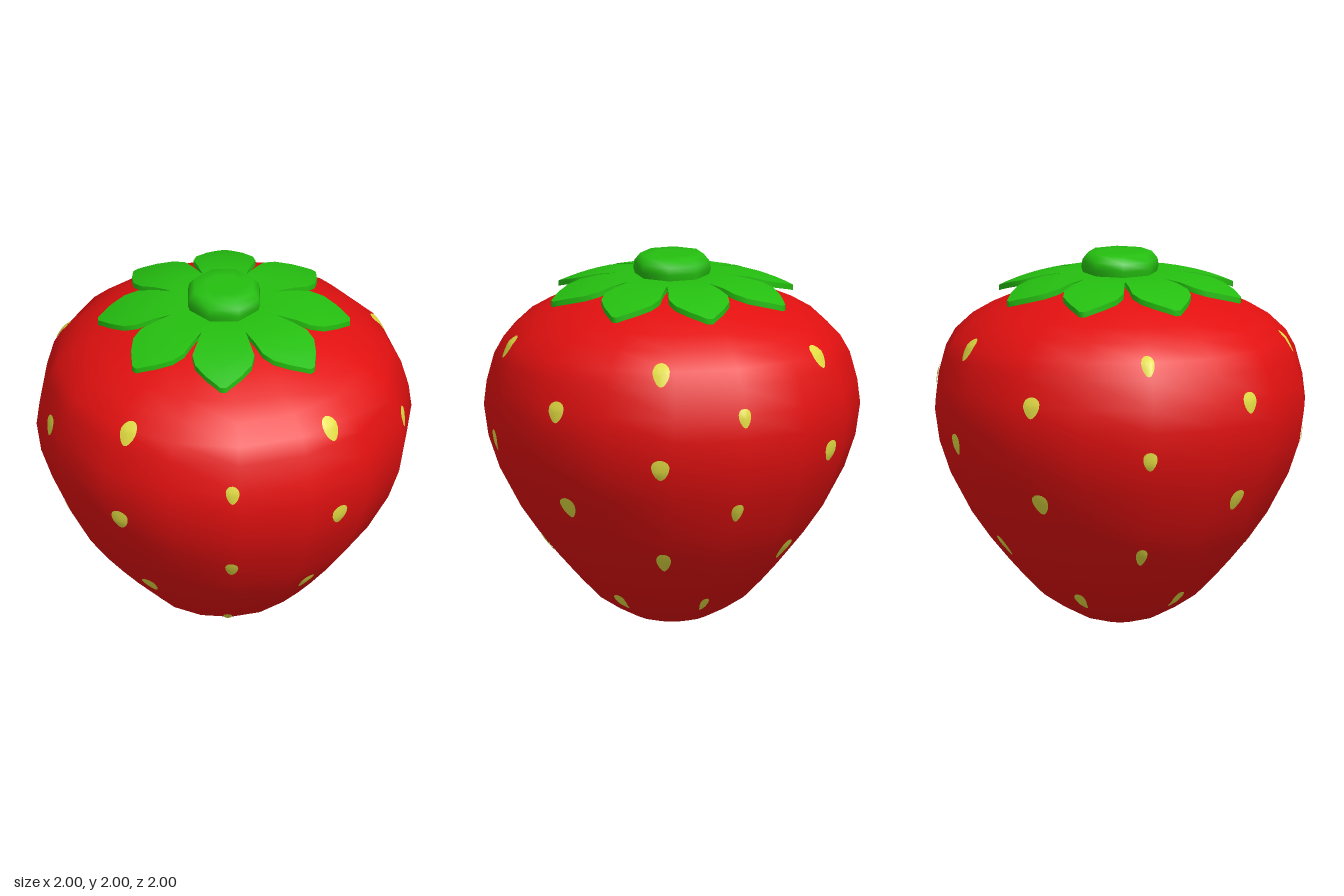
import * as THREE from 'three';

const SIDES = 16;
const STEP = (Math.PI * 2) / SIDES;
// Fruit profile, [radius, height] from tip to shoulder
const PROFILE = [
  [0, 0.005], [0.09, 0.01], [0.19, 0.035], [0.3, 0.09], [0.41, 0.16], [0.51, 0.26], [0.6, 0.36], [0.7, 0.48],
  [0.8, 0.62], [0.915, 0.835], [0.975, 1.01], [1, 1.18], [0.985, 1.31], [0.945, 1.46],
  [0.895, 1.55], [0.8, 1.64], [0.69, 1.705], [0.52, 1.78], [0.3, 1.84], [0, 1.865],
];

function lathe(points, sides) {
  return new THREE.LatheGeometry(points.map(([r, y]) => new THREE.Vector2(r, y)), sides);
}

function makeGeometry(positions, index) {
  const g = new THREE.BufferGeometry();
  g.setAttribute('position', new THREE.Float32BufferAttribute(positions, 3));
  g.setIndex(index);
  g.computeVertexNormals();
  return g;
}

// Point on the faceted fruit, lifted slightly along the outward direction
function onFruit(theta, y, lift) {
  let i = 1;
  while (i < PROFILE.length - 2 && PROFILE[i][1] < y) i++;
  const [r0, y0] = PROFILE[i - 1];
  const [r1, y1] = PROFILE[i];
  const r = r0 + ((r1 - r0) * (y - y0)) / (y1 - y0);
  const mid = (Math.floor(theta / STEP) + 0.5) * STEP;
  const facet = (r * Math.cos(STEP / 2)) / Math.cos(theta - mid);
  const len = Math.hypot(r1 - r0, y1 - y0);
  const out = facet + (lift * (y1 - y0)) / len;
  return [Math.sin(theta) * out, y - (lift * (r1 - r0)) / len, Math.cos(theta) * out];
}

// Thin egg-shaped seed that follows the fruit's skin
function seedGeometry(theta, y, w, h) {
  const n = 16;
  const rings = 4;
  const r = Math.hypot(...[0, 2].map((k) => onFruit(theta, y, 0)[k]));
  const pos = [...onFruit(theta, y, 0.008)];
  const index = [];
  for (let k = 1; k <= rings; k++) {
    for (let i = 0; i < n; i++) {
      const a = (i / n) * Math.PI * 2;
      const s = k / rings;
      const u = Math.sin(a) * (w / 2) * (1 + 0.3 * Math.cos(a)) * s;
      const v = Math.cos(a) * (h / 2) * s;
      pos.push(...onFruit(theta + u / r, y + v, 0.008 - 0.004 * s * s));
      const j = (i + 1) % n;
      const b = 1 + (k - 1) * n;
      if (k === 1) index.push(0, b + j, b + i);
      else index.push(b - n + i, b - n + j, b + j, b - n + i, b + j, b + i);
    }
  }
  return makeGeometry(pos, index);
}

// Eight-leaf crown: one outline, scaled in rings and drooping outwards
function crownGeometries() {
  const half = [[0.38, 0.142], [0.46, 0.165], [0.53, 0.15], [0.6, 0.095], [0.64, 0.05], [0.67, 0.015]];
  const leaf = [[0.28, -0.116], ...half.map(([r, w]) => [r, -w]), ...half.slice().reverse()];
  const outline = [];
  for (let k = 0; k < 8; k++) {
    const t = ((39.5 + 45 * k) * Math.PI) / 180;
    for (const [r, w] of leaf) {
      outline.push([Math.sin(t) * r + Math.cos(t) * w, Math.cos(t) * r - Math.sin(t) * w]);
    }
  }
  const n = outline.length;
  const scales = [0.3, 0.5, 0.65, 0.8, 0.9, 1];
  const height = (x, z) => {
    const d = Math.max(0, Math.hypot(x, z) - 0.25) / 0.41;
    return 1.888 - 0.1 * d * d;
  };
  const sheet = (drop, flip) => {
    const pos = [0, 1.888 - drop, 0];
    const index = [];
    const tri = (a, b, c) => (flip ? index.push(a, c, b) : index.push(a, b, c));
    scales.forEach((s, k) => outline.forEach(([x, z], i) => {
      pos.push(x * s, height(x * s, z * s) - drop, z * s);
      const j = (i + 1) % n;
      const b = 1 + k * n;
      if (k === 0) tri(0, b + i, b + j);
      else {
        tri(b - n + i, b + i, b + j);
        tri(b - n + i, b + j, b - n + j);
      }
    }));
    return makeGeometry(pos, index);
  };
  const pos = [];
  const index = [];
  outline.forEach(([x, z], i) => {
    const y = height(x, z);
    pos.push(x, y, z, x, y - 0.03, z);
    const a = 2 * i;
    const b = 2 * ((i + 1) % n);
    index.push(a, a + 1, b + 1, a, b + 1, b);
  });
  return { leafTops: sheet(0, false), leafUndersides: sheet(0.03, true), leafEdges: makeGeometry(pos, index) };
}

export function createModel() {
  const model = new THREE.Group();
  model.name = 'strawberry';
  const mat = (name, color) => Object.assign(new THREE.MeshStandardMaterial({ color }), { name });
  const red = mat('red skin', 0xe31010);
  const green = mat('leaf green', 0x25bf10);
  const yellow = mat('seed yellow', 0xe2dc42);
  const add = (parent, name, geometry, material) => {
    const mesh = new THREE.Mesh(geometry, material);
    mesh.name = name;
    parent.add(mesh);
    return mesh;
  };

  add(model, 'fruit', lathe(PROFILE, SIDES), red);

  // Seeds in staggered rows: [height, width, tall]
  const seeds = new THREE.Group();
  seeds.name = 'seeds';
  model.add(seeds);
  const rows = [
    [1.53, 0.09, 0.115], [1.3, 0.09, 0.115], [1.03, 0.095, 0.115],
    [0.765, 0.085, 0.115], [0.465, 0.075, 0.11], [0.175, 0.055, 0.09],
  ];
  const angles = [[-10.5, 63, 127.5, 201.5, 275], [-47.5, 27.5, 90, 163, 237.5]];
  rows.forEach(([y, w, h], row) => angles[row % 2].forEach((deg) => {
    // Seeds sitting on a ridge sink deeper and look smaller
    const ridge = Math.abs(deg / 22.5 - Math.round(deg / 22.5)) < 0.15;
    const theta = THREE.MathUtils.degToRad(deg);
    add(seeds, 'seed', seedGeometry(theta, y, w * (ridge ? 0.78 : 1), h * (ridge ? 0.9 : 1)), yellow);
  }));

  // Leafy crown
  const crown = new THREE.Group();
  crown.name = 'crown';
  model.add(crown);
  for (const [name, geometry] of Object.entries(crownGeometries())) add(crown, name, geometry, green);

  // Stubby eight-sided stem
  const stem = add(model, 'stem', lathe(
    [[0.19, 1.86], [0.207, 1.92], [0.2, 1.96], [0.17, 1.997], [0.1, 2], [0, 2]], 8), green);
  stem.rotation.y = THREE.MathUtils.degToRad(17.5);
  return model;
}
